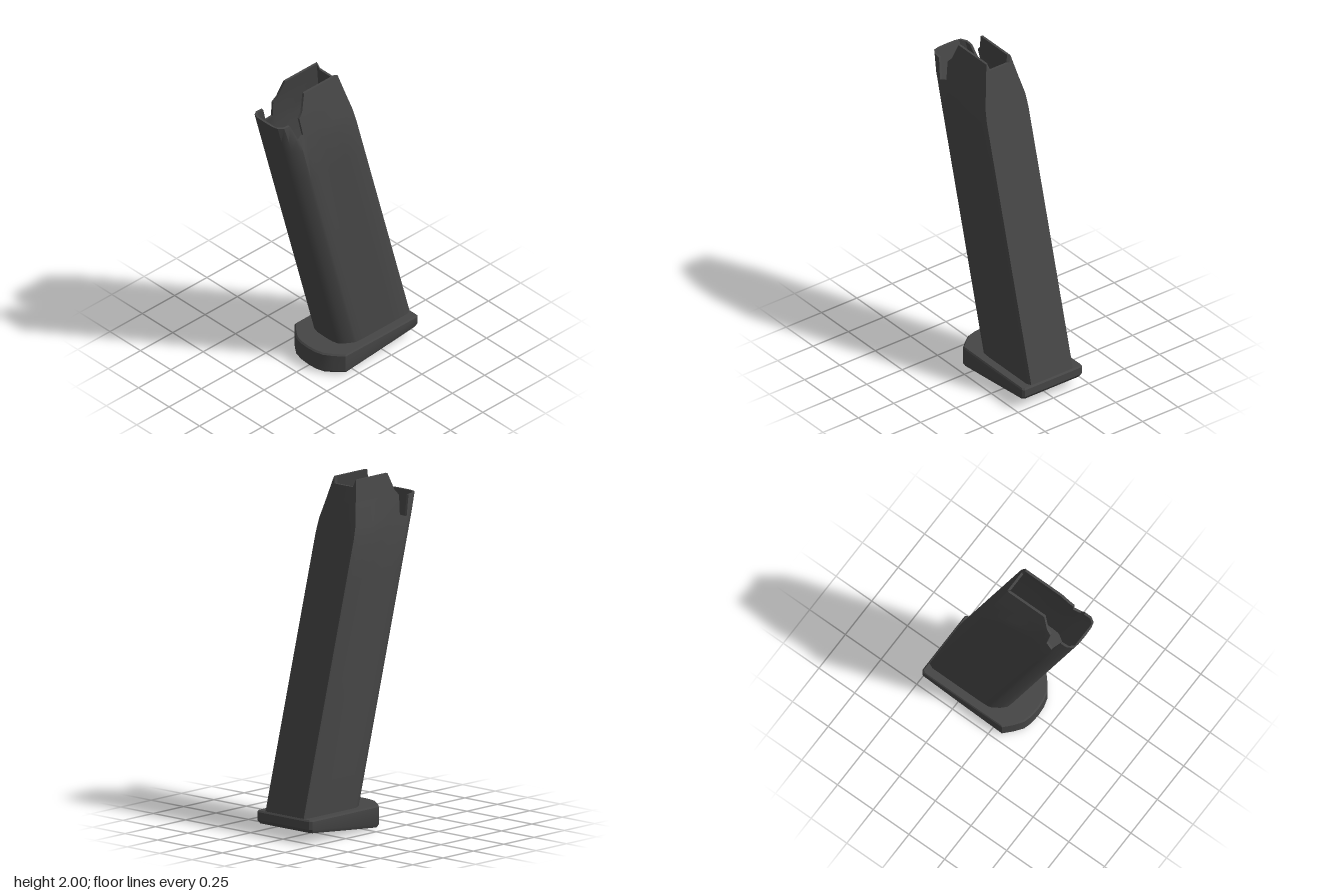
import * as THREE from 'three';
import { toCreasedNormals } from 'three/addons/utils/BufferGeometryUtils.js';

const V = (x, y, z) => new THREE.Vector3(x, y, z);
const LEAN = 0.268;
const WALL = 0.014;

// Skin a stack of closed rings, leaving out collapsed triangles
function loft(rings, crease) {
  const pos = [];
  const tri = (a, b, c) => {
    const area = b.clone().sub(a).cross(c.clone().sub(a)).length();
    if (area > 1e-7) for (const p of [a, b, c]) pos.push(p.x, p.y, p.z);
  };
  for (let r = 0; r + 1 < rings.length; r++) {
    const lo = rings[r], hi = rings[r + 1], n = lo.length;
    for (let j = 0; j < n; j++) {
      const k = (j + 1) % n;
      tri(lo[j], lo[k], hi[k]);
      tri(lo[j], hi[k], hi[j]);
    }
  }
  const geo = new THREE.BufferGeometry();
  geo.setAttribute('position', new THREE.Float32BufferAttribute(pos, 3));
  return toCreasedNormals(geo, crease);
}

// Complete a half outline (front centre, round the left, to back centre)
function mirrored(half) {
  const other = half.slice(1, -1).reverse().map(([x, ...rest]) => [-x, ...rest]);
  return [...half, ...other];
}

// Half width allowed at a height: the mouth narrows in two slopes
function widthLimit(y, w) {
  const dent = w < -0.1 && w > -0.25;
  const steps = [[1.45, 0.16], [1.68, dent ? 0.145 : 0.16], [1.865, 0.115], [2, 0.085]];
  if (y <= steps[0][0]) return 0.16;
  for (let i = 1; i < steps.length; i++) {
    const [y0, a] = steps[i - 1], [y1, b] = steps[i];
    if (y <= y1) return a + (b - a) * (y - y0) / (y1 - y0);
  }
  return 0.085;
}

// Half outline of the tube: half width, depth, height of the rim there
const tubeOutline = mirrored([
  [0, 0.033, 1.865], [0.06, 0.031, 1.865], [0.095, 0.022, 1.865],
  [0.125, -0.008, 1.862], [0.152, -0.05, 1.858],
  [0.157, -0.065, 1.745], [0.16, -0.112, 1.76], [0.16, -0.129, 1.87],
  [0.16, -0.165, 1.9], [0.16, -0.228, 2], [0.16, -0.34, 2],
  [0.16, -0.455, 2], [0.147, -0.486, 2], [0.07, -0.487, 1.96], [0, -0.487, 1.96],
]);

function tubeRing(level, inside) {
  return tubeOutline.map(([x, w, top]) => {
    const y = Math.min(level, top);
    let half = Math.min(Math.abs(x), widthLimit(y, w));
    let depth = w;
    if (inside) {
      half = Math.max(0, half - (half > 0.08 ? WALL : half * 0.15));
      depth = THREE.MathUtils.clamp(w, -0.487 + WALL, 0.033 - WALL);
    }
    return V(Math.sign(x) * half, y, depth + LEAN * (y - 0.14));
  });
}

// Hollow leaning tube with feed lips, notches and an inner floor
function tubeGeometry() {
  const levels = [0.12, 1.45, 1.68, 1.76, 1.865, 1.9, 2];
  const floorY = 1.12;
  const rings = levels.map((y) => tubeRing(y, false));
  for (const y of levels.slice(1).reverse()) rings.push(tubeRing(y, true));
  rings.push(tubeRing(floorY, true));
  const centre = V(0, floorY, -0.2 + LEAN * (floorY - 0.14));
  rings.push(tubeOutline.map(() => centre));
  return loft(rings, 0.55);
}

// Base plate with a rounded nose, sloping underside and bevelled rims
function plateGeometry() {
  const outline = mirrored([
    [0, 0.166], [0.06, 0.162], [0.11, 0.148], [0.16, 0.112], [0.21, 0.067],
    [0.212, -0.2], [0.212, -0.485], [0.2, -0.498], [0, -0.498],
  ]);
  const mid = -0.17;
  const ring = (scale, height) => outline.map(([x, z]) => {
    const pz = mid + (z - mid) * scale;
    return V(x * scale, height(pz), pz);
  });
  const under = (z) => Math.max(0, (0.155 - z) * 0.095);
  return loft([
    ring(0, under), ring(0.955, under), ring(1, (z) => under(z) + 0.02),
    ring(1, () => 0.127), ring(0.975, () => 0.136), ring(0, () => 0.136),
  ], 0.5);
}

export function createModel() {
  const group = new THREE.Group();
  group.name = 'magazine';
  const steel = new THREE.MeshStandardMaterial({ color: 0x464646 });
  steel.name = 'darkGrey';

  const tube = new THREE.Mesh(tubeGeometry(), steel);
  tube.name = 'tube';
  const plate = new THREE.Mesh(plateGeometry(), steel);
  plate.name = 'basePlate';

  group.add(tube, plate);
  return group;
}
